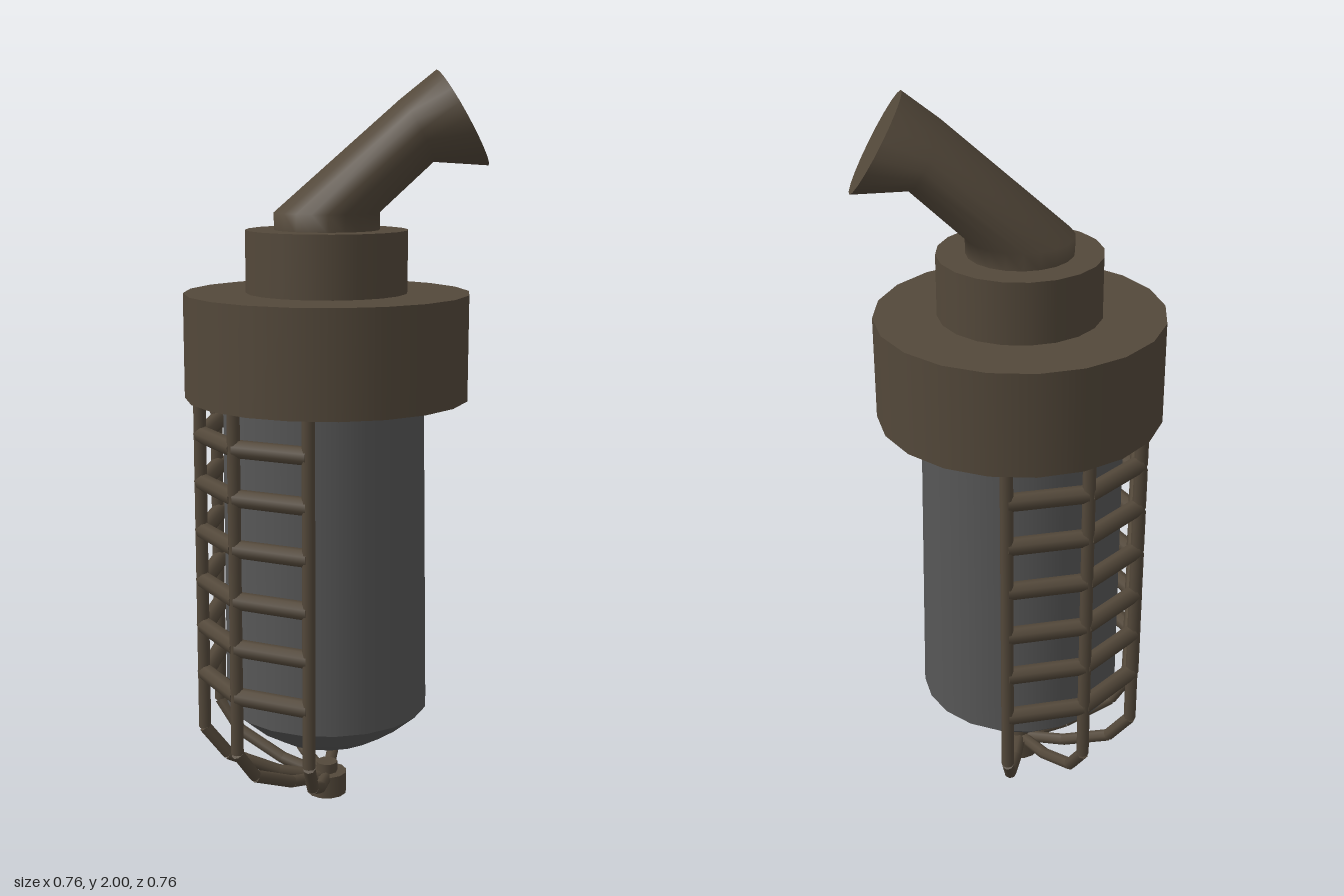
import * as THREE from 'three';

export function createModel() {
  const model = new THREE.Group();
  model.name = 'cagedLamp';
  const bronze = new THREE.MeshStandardMaterial({ color: 0x53483a });
  bronze.name = 'dark bronze';
  const glass = new THREE.MeshStandardMaterial({ color: 0x575757 });
  glass.name = 'smoked grey';

  const add = (name, geometry, material, parent = model) => {
    const mesh = new THREE.Mesh(geometry, material);
    mesh.name = name;
    parent.add(mesh);
    return mesh;
  };
  const drum = (name, r, y0, y1, sides, material = bronze) => {
    const m = add(name, new THREE.CylinderGeometry(r, r, y1 - y0, sides), material);
    m.position.y = (y0 + y1) / 2;
    return m;
  };
  const strut = (name, a, b, r, parent) => {
    const dir = b.clone().sub(a);
    const m = add(name, new THREE.CylinderGeometry(r, r, dir.length(), 8), bronze, parent);
    m.position.copy(a).add(b).multiplyScalar(0.5);
    m.quaternion.setFromUnitVectors(new THREE.Vector3(0, 1, 0), dir.normalize());
  };

  // Housing
  drum('collar', 0.382, 1.145, 1.425, 20);
  drum('neck', 0.216, 1.425, 1.59, 20);

  // Bent pipe: rings given as [offset along bend, height, half size along bend, half size in height]
  const rings = [
    [0, 1.585, 0.14, 0],
    [0, 1.635, 0.14, 0],
    [0.235, 1.845, 0.045, -0.08],
    [0.354, 1.878, 0.07, -0.122],
  ];
  const N = 20;
  const dx = 0.625, dz = -0.78;
  const ringPoint = ([u, y, hu, hy], i) => {
    const c = Math.cos(i / N * Math.PI * 2);
    const s = 0.14 * Math.sin(i / N * Math.PI * 2);
    const along = u + hu * c;
    return [along * dx + s * dz, y + hy * c, along * dz - s * dx];
  };
  const pos = [], idx = [];
  rings.forEach((ring, j) => {
    for (let i = 0; i < N; i++) {
      pos.push(...ringPoint(ring, i));
      if (j === rings.length - 1) continue;
      const a = j * N + i, b = j * N + (i + 1) % N;
      idx.push(a, b, a + N, b, b + N, a + N);
    }
  });
  const mesh = (p, t) => {
    const g = new THREE.BufferGeometry();
    g.setAttribute('position', new THREE.Float32BufferAttribute(p, 3));
    g.setIndex(t);
    g.computeVertexNormals();
    return g;
  };
  add('pipe', mesh(pos, idx), bronze);

  // Flat end of the pipe
  const end = rings[rings.length - 1];
  const capPos = [end[0] * dx, end[1], end[0] * dz], capIdx = [];
  for (let i = 0; i < N; i++) {
    capPos.push(...ringPoint(end, i));
    capIdx.push(0, 1 + i, 1 + (i + 1) % N);
  }
  add('pipeEnd', mesh(capPos, capIdx), bronze);

  // Lamp body, drawn in slightly at the top of its open side
  const body = new THREE.CylinderGeometry(0.28, 0.28, 0.87, 20, 1, true);
  const p = body.attributes.position;
  for (let i = 0; i < p.count; i++) {
    if (p.getY(i) < 0) continue;
    const facing = Math.max(0, (p.getX(i) * 0.82 - p.getZ(i) * 0.57) / 0.28);
    const k = 1 - 0.06 * facing;
    p.setXYZ(i, p.getX(i) * k, p.getY(i), p.getZ(i) * k);
  }
  add('lampBody', body, glass).position.y = 0.715;

  // Rounded underside of the lamp
  const dome = [[0, 0.155], [0.08, 0.162], [0.15, 0.186], [0.215, 0.225], [0.28, 0.28]]
    .map(([x, y]) => new THREE.Vector2(x, y));
  add('lampDome', new THREE.LatheGeometry(dome, 20), glass);

  // Cage: six bars around one half, joined by rungs
  const cage = new THREE.Group();
  cage.name = 'cage';
  model.add(cage);
  const at = (deg, r, y) => {
    const a = THREE.MathUtils.degToRad(deg);
    return new THREE.Vector3(r * Math.cos(a), y, r * Math.sin(a));
  };
  const barProfile = [[0.345, 1.16], [0.345, 0.22], [0.28, 0.135], [0.14, 0.073], [0.03, 0.05]];
  const rungHeights = [1.05, 0.92, 0.785, 0.645, 0.515, 0.38];
  for (let b = 0; b < 6; b++) {
    const deg = 48 + b * 36;
    for (let i = 1; i < barProfile.length; i++) {
      strut('cageBar', at(deg, ...barProfile[i - 1]), at(deg, ...barProfile[i]), 0.017, cage);
    }
    if (b === 5) continue;
    for (const y of rungHeights) {
      strut('cageRung', at(deg, 0.34, y), at(deg + 36, 0.34, y), 0.024, cage);
    }
  }

  // Bottom finial
  drum('finial', 0.056, 0, 0.062, 12);
  drum('finialTop', 0.03, 0.06, 0.09, 10);

  return model;
}
